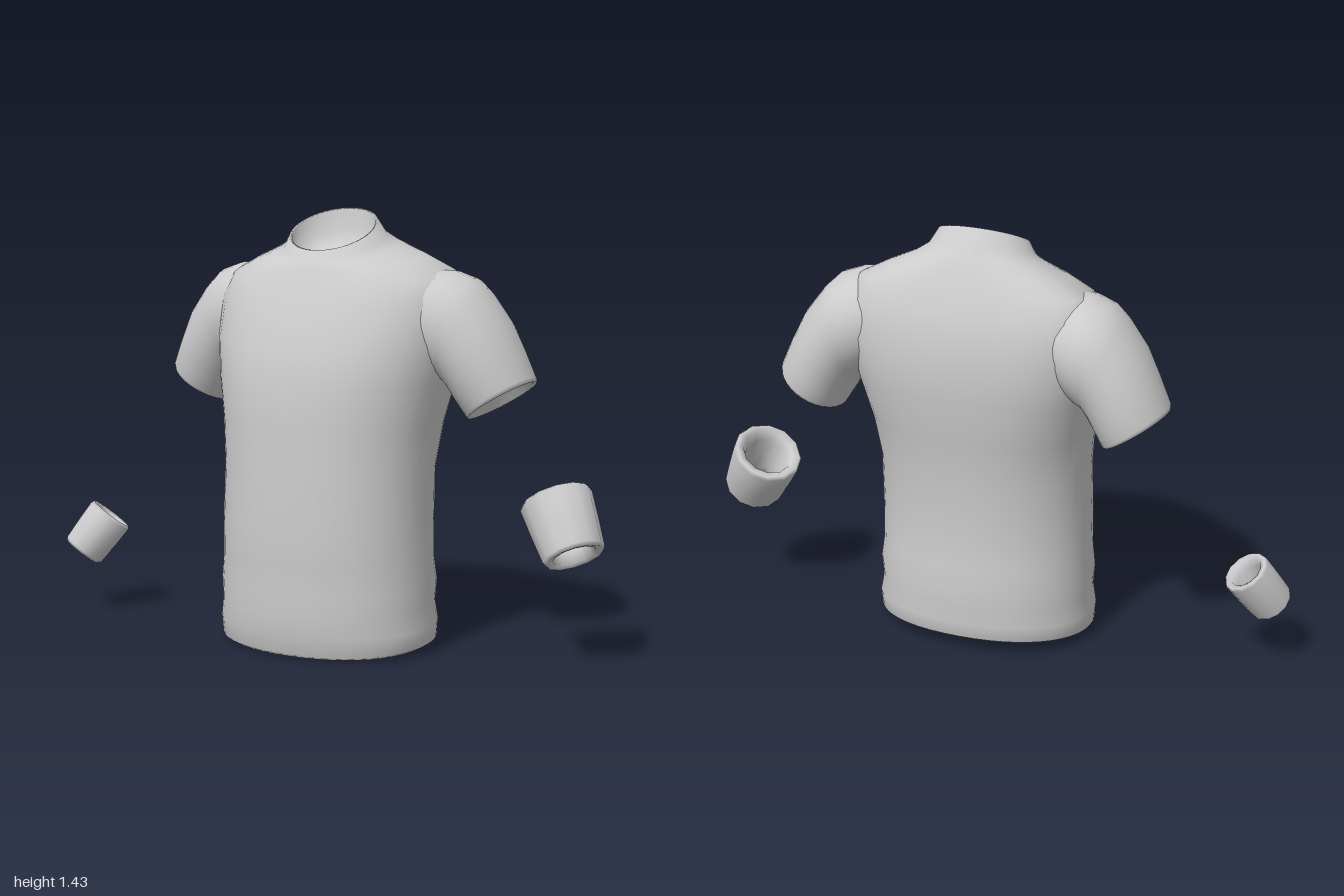
import * as THREE from 'three';

const material = new THREE.MeshStandardMaterial({ color: 0xcccccc, side: THREE.DoubleSide });
const V = (x, y, z) => new THREE.Vector3(x, y, z);
const CENTRE_X = 0.048;

// Smooth skin over closed rings that all have the same number of points
function loft(name, rings, joinEnds = false) {
  const n = rings[0].length, index = [];
  const spans = joinEnds ? rings.length : rings.length - 1;
  for (let i = 0; i < spans; i++) {
    const next = (i + 1) % rings.length;
    for (let j = 0; j < n; j++) {
      const k = (j + 1) % n;
      const a = i * n + j, b = next * n + j, c = i * n + k, d = next * n + k;
      index.push(a, b, c, c, b, d);
    }
  }
  const geometry = new THREE.BufferGeometry().setFromPoints(rings.flat());
  geometry.setIndex(index);
  geometry.computeVertexNormals();
  const mesh = new THREE.Mesh(geometry, material);
  mesh.name = name;
  return mesh;
}

const around = (n, fn) => Array.from({ length: n }, (_, j) => fn((j / n) * Math.PI * 2));
const power = (v, n) => Math.sign(v) * Math.pow(Math.abs(v), 2 / n);

// Body section: rounded at the front, squarer at the back, tilted from front to back
function bodyRing([yFront, yBack, halfWidth, zFront, zBack, zWide, square]) {
  return around(48, (a) => {
    const s = Math.sin(a), n = s > 0 ? Math.min(square, 2.2) : square;
    const x = halfWidth * power(Math.cos(a), n);
    const z = zWide + (s > 0 ? zFront - zWide : zWide - zBack) * power(s, n);
    const t = (zFront - z) / (zFront - zBack);
    return V(CENTRE_X + x, yFront + (yBack - yFront) * t, z);
  });
}

function makeBody() {
  // yFront, yBack, half width, zFront, zBack, z of the widest point, squareness
  const hemLining = [
    [0.18, 0.19, 0.004, 0.014, 0.006, 0.01, 2],
    [0.165, 0.18, 0.17, 0.14, -0.12, 0.01, 2.1],
    [0.11, 0.13, 0.28, 0.22, -0.19, 0.01, 2.1],
    [0.03, 0.07, 0.335, 0.26, -0.235, 0.01, 2.2],
  ];
  const hemAndFolds = [
    [0.0, 0.042, 0.355, 0.272, -0.25, 0.01, 2.2],
    [0.01, 0.05, 0.37, 0.288, -0.262, 0.01, 2.2],
    [0.075, 0.10, 0.374, 0.296, -0.268, 0.01, 2.2],
    [0.14, 0.16, 0.362, 0.307, -0.266, 0.01, 2.2],
    [0.21, 0.23, 0.368, 0.302, -0.272, 0.01, 2.2],
    [0.30, 0.30, 0.358, 0.308, -0.26, 0.01, 2.2],
    [0.42, 0.42, 0.358, 0.31, -0.255, 0.01, 2.2],
    [0.60, 0.60, 0.355, 0.302, -0.258, 0, 2.3],
  ];
  const chestAndShoulders = [
    [0.75, 0.75, 0.37, 0.297, -0.282, -0.02, 2.5],
    [0.88, 0.90, 0.398, 0.29, -0.305, -0.05, 2.8],
    [1.00, 1.06, 0.425, 0.262, -0.311, -0.08, 3.1],
    [1.125, 1.18, 0.425, 0.212, -0.278, -0.09, 3.1],
    [1.20, 1.25, 0.39, 0.175, -0.247, -0.09, 2.8],
    [1.243, 1.30, 0.30, 0.153, -0.225, -0.08, 2.4],
    [1.267, 1.35, 0.21, 0.141, -0.198, -0.05, 2.1],
  ];
  const collarAndLining = [
    [1.28, 1.38, 0.175, 0.126, -0.172, -0.03, 2],
    [1.306, 1.433, 0.15, 0.115, -0.141, -0.015, 2],
    [1.306, 1.428, 0.141, 0.104, -0.132, -0.015, 2],
    [1.265, 1.36, 0.138, 0.10, -0.13, -0.02, 2],
    [1.24, 1.31, 0.10, 0.065, -0.10, -0.02, 2],
    [1.265, 1.267, 0.004, -0.016, -0.024, -0.02, 2],
  ];
  const rows = [...hemLining, ...hemAndFolds, ...chestAndShoulders, ...collarAndLining];
  return loft('shirtBody', rows.map(bodyRing));
}

function makeSleeve(side) {
  // upper edge x, y, lower edge x, y, middle z, half depth, scale
  const rows = [
    // root that sinks into the chest and shoulder
    [0.25, 1.235, 0.27, 0.94, -0.07, 0.165, 1],
    [0.33, 1.245, 0.33, 0.91, -0.085, 0.18, 1],
    [0.40, 1.242, 0.37, 0.888, -0.102, 0.182, 1],
    [0.465, 1.22, 0.395, 0.873, -0.108, 0.176, 1],
    [0.51, 1.178, 0.412, 0.85, -0.11, 0.172, 1],
    [0.577, 1.09, 0.432, 0.815, -0.114, 0.167, 1],
    [0.625, 0.995, 0.448, 0.788, -0.12, 0.157, 1],
    [0.664, 0.91, 0.458, 0.77, -0.124, 0.147, 1],
    // cuff edge and lining
    [0.669, 0.897, 0.46, 0.762, -0.124, 0.145, 0.97],
    [0.665, 0.90, 0.46, 0.767, -0.124, 0.145, 0.89],
    [0.642, 0.955, 0.452, 0.78, -0.12, 0.15, 0.76],
    [0.62, 0.99, 0.445, 0.80, -0.118, 0.155, 0.45],
    [0.615, 0.995, 0.443, 0.805, -0.118, 0.155, 0.02],
  ];
  const rings = rows.map(([tx, ty, bx, by, z, depth, scale]) => around(32, (a) => {
    const c = Math.cos(a) * scale / 2;
    const x = (tx + bx) / 2 + (tx - bx) * c;
    const y = (ty + by) / 2 + (ty - by) * c;
    return V(CENTRE_X + side * x, y, z - side * depth * scale * Math.sin(a));
  }));
  return loft(side > 0 ? 'leftSleeve' : 'rightSleeve', rings);
}

// Thick open band running from its wide upper end to its lower end
function makeBand(name, upper, lower, upperRadius, lowerRadius, hole) {
  const length = upper.distanceTo(lower), h = length / 2, b = length * 0.06;
  const mid = (upperRadius + lowerRadius) / 2;
  const profile = [
    [-h, lowerRadius * 0.92], [-h + b, lowerRadius], [0, mid * 1.01],
    [h - b, upperRadius], [h, upperRadius * 0.93], [h - b / 2, hole * 1.35],
    [h * 0.6, hole * 1.15], [0, hole], [-h * 0.6, hole], [-h + b / 2, hole * 1.1],
  ];
  const rings = profile.map(([y, r]) => around(12, (a) => V(r * Math.cos(a), y, r * Math.sin(a))));
  const band = loft(name, rings, true);
  band.position.copy(upper).add(lower).multiplyScalar(0.5);
  band.quaternion.setFromUnitVectors(V(0, 1, 0), upper.clone().sub(lower).normalize());
  return band;
}

export function createModel() {
  const model = new THREE.Group();
  model.name = 'shirtWithWristbands';
  model.add(
    makeBody(),
    makeSleeve(1),
    makeSleeve(-1),
    makeBand('leftWristband', V(0.815, 0.535, -0.098), V(0.917, 0.363, -0.03), 0.119, 0.102, 0.064),
    makeBand('rightWristband', V(-0.858, 0.338, -0.012), V(-0.937, 0.205, 0.055), 0.081, 0.075, 0.042),
  );
  return model;
}
